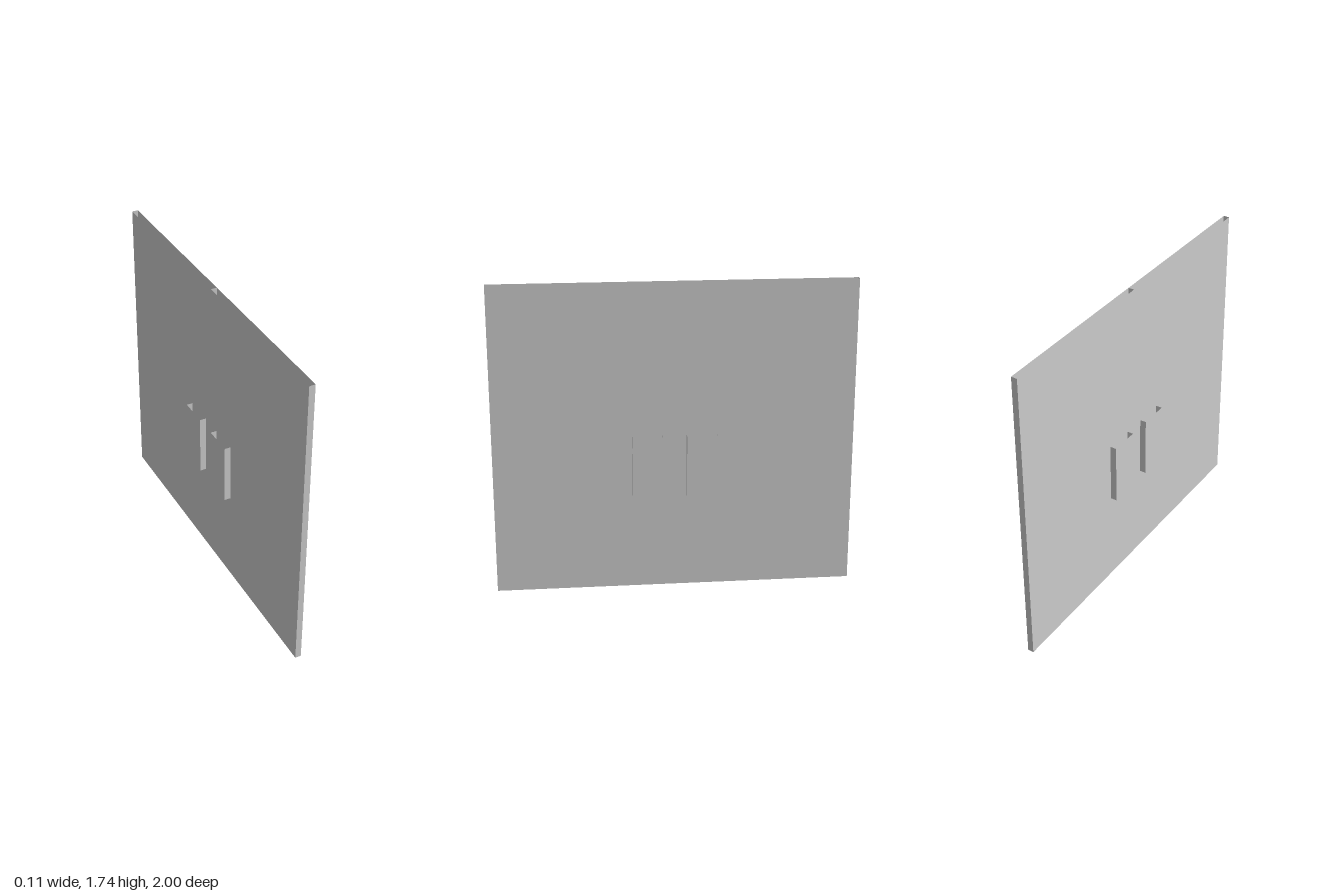
import * as THREE from 'three';

const material = new THREE.MeshStandardMaterial({ color: 0xcccccc, side: THREE.DoubleSide });

// Upright sheet walls following a plan path of [x, z] corners, open above and below
function walls(name, path, y0, y1) {
  const positions = [];
  for (let i = 0; i < path.length - 1; i++) {
    const [ax, az] = path[i];
    const [bx, bz] = path[i + 1];
    positions.push(ax, y0, az, bx, y0, bz, bx, y1, bz);
    positions.push(ax, y0, az, bx, y1, bz, ax, y1, az);
  }
  const geometry = new THREE.BufferGeometry();
  geometry.setAttribute('position', new THREE.Float32BufferAttribute(positions, 3));
  geometry.computeVertexNormals();
  const mesh = new THREE.Mesh(geometry, material);
  mesh.name = name;
  return mesh;
}

export function createModel() {
  const model = new THREE.Group();
  model.name = 'doubleDoor';
  const height = 1.74;
  const half = 0.017; // half the leaf thickness
  const reach = 0.053; // handle face distance from the centre plane

  for (const end of [1, -1]) {
    const leaf = new THREE.Group();
    leaf.name = end > 0 ? 'frontLeaf' : 'backLeaf';

    // Hollow door panel; the two leaves meet at z = 0
    const z0 = Math.min(0, end);
    const z1 = Math.max(0, end);
    leaf.add(walls('doorPanel',
      [[-half, z1], [half, z1], [half, z0], [-half, z0], [-half, z1]], 0, height));

    // Folded pull handle on each face
    const h0 = end * 0.15 - 0.084;
    const h1 = end * 0.15 + 0.084;
    for (const side of [1, -1]) {
      const path = [[side * half, h1], [side * reach, h1], [side * reach, h0], [side * half, h0]];
      leaf.add(walls('handle', side > 0 ? path : path.reverse(), 0.54, 0.89));
    }
    model.add(leaf);
  }
  return model;
}
